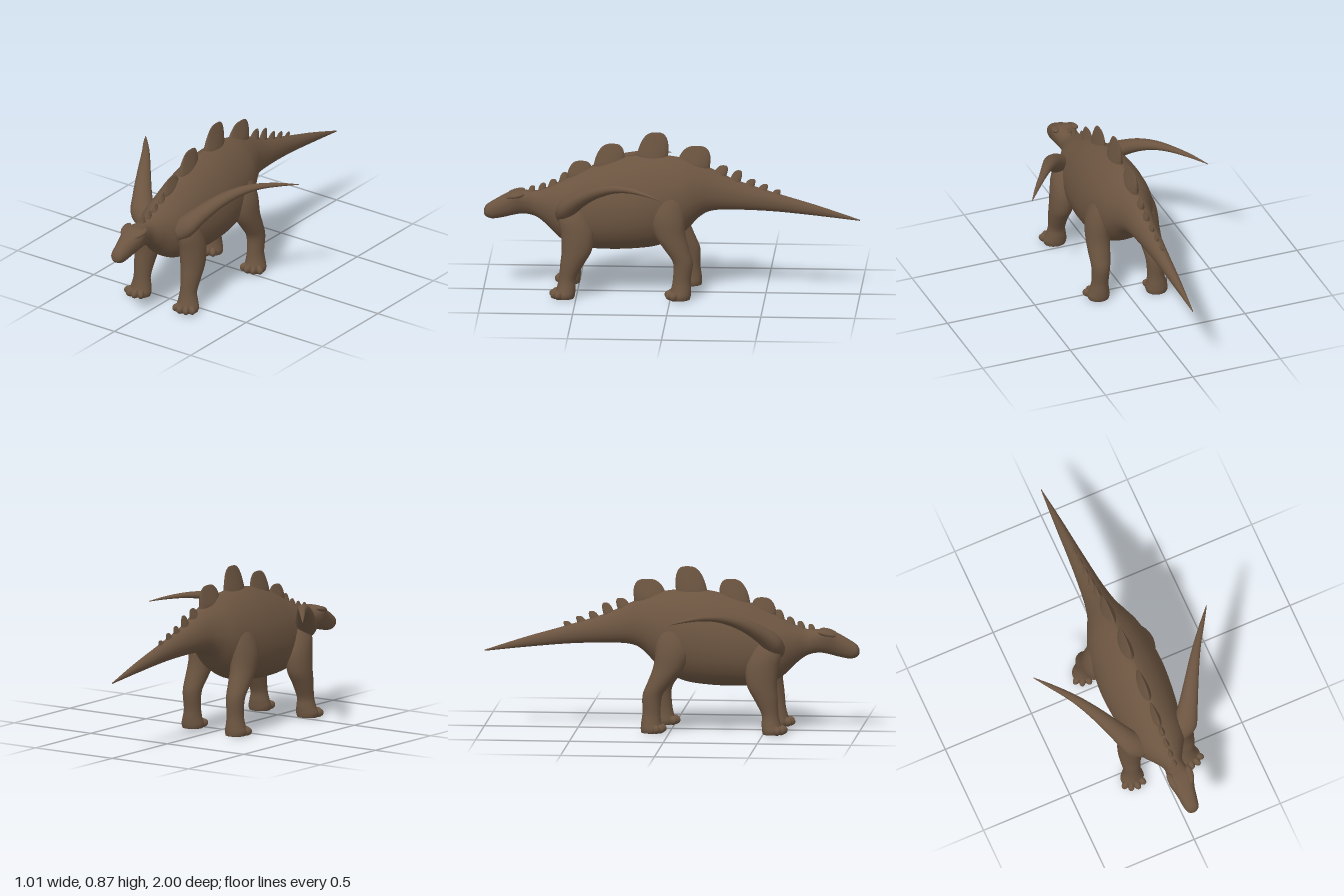
import * as THREE from 'three';

const hide = new THREE.MeshStandardMaterial({ color: 0x6b5440 });
hide.name = 'brown hide';

// Smooth interpolation through rows of numbers
function sampleRows(rows, t) {
  const s = t * (rows.length - 1);
  const i = Math.min(Math.floor(s), rows.length - 2);
  const u = s - i;
  const at = (k) => rows[Math.max(0, Math.min(rows.length - 1, k))];
  return rows[i].map((_, c) => {
    const a = at(i - 1)[c], b = at(i)[c], d = at(i + 1)[c], e = at(i + 2)[c];
    return b + 0.5 * u * (d - a + u * (2 * a - 5 * b + 4 * d - e + u * (3 * (b - d) + e - a)));
  });
}

// Closed skin over rings; ring(row, angle) gives [x, y, z]
function loft(rows, ring, steps, sides) {
  const pos = [], index = [];
  for (let i = 0; i <= steps; i++) {
    const row = sampleRows(rows, i / steps);
    for (let j = 0; j < sides; j++) pos.push(...ring(row, (j / sides) * Math.PI * 2));
  }
  for (let i = 0; i < steps; i++) {
    for (let j = 0; j < sides; j++) {
      const a = i * sides + j, b = i * sides + (j + 1) % sides;
      index.push(a, b, a + sides, b, b + sides, a + sides);
    }
  }
  for (const end of [0, steps]) {
    const centre = pos.length / 3, mid = [0, 0, 0];
    for (let j = 0; j < sides; j++) for (let c = 0; c < 3; c++) mid[c] += pos[(end * sides + j) * 3 + c] / sides;
    pos.push(...mid);
    for (let j = 0; j < sides; j++) {
      const a = end * sides + j, b = end * sides + (j + 1) % sides;
      index.push(...(end ? [a, b, centre] : [b, a, centre]));
    }
  }
  // Turn the faces outward
  const v = (k) => new THREE.Vector3().fromArray(pos, k * 3);
  let volume = 0;
  for (let k = 0; k < index.length; k += 3) volume += v(index[k]).dot(v(index[k + 1]).cross(v(index[k + 2])));
  if (volume < 0) index.reverse();
  const geo = new THREE.BufferGeometry();
  geo.setAttribute('position', new THREE.Float32BufferAttribute(pos, 3));
  geo.setIndex(index);
  geo.computeVertexNormals();
  return geo;
}

function add(parent, name, geo) {
  const mesh = new THREE.Mesh(geo, hide);
  mesh.name = name;
  parent.add(mesh);
  return mesh;
}

function ellipsoid(parent, name, p, r, turn = [0, 0, 0]) {
  const mesh = add(parent, name, new THREE.SphereGeometry(1, 16, 12));
  mesh.position.set(...p);
  mesh.scale.set(...r);
  mesh.rotation.set(...turn);
  return mesh;
}

// z, bottom, top, half width, height of widest point (0-1), upper taper
const bodyRows = [
  [0.998, 0.415, 0.44, 0.012, 0.5, 0.9], [0.985, 0.4, 0.463, 0.032, 0.5, 0.9],
  [0.95, 0.39, 0.487, 0.042, 0.5, 0.8], [0.89, 0.4, 0.52, 0.052, 0.6, 0.7],
  [0.83, 0.415, 0.545, 0.068, 0.7, 0.65], [0.78, 0.42, 0.545, 0.06, 0.6, 0.8],
  [0.72, 0.405, 0.545, 0.055, 0.5, 1], [0.66, 0.36, 0.565, 0.085, 0.5, 1.1],
  [0.58, 0.285, 0.605, 0.13, 0.48, 1.2], [0.48, 0.248, 0.655, 0.15, 0.45, 1.3],
  [0.36, 0.238, 0.705, 0.17, 0.42, 1.35], [0.2, 0.243, 0.745, 0.182, 0.42, 1.4],
  [0.06, 0.265, 0.75, 0.172, 0.45, 1.4], [-0.06, 0.33, 0.735, 0.15, 0.45, 1.4],
  [-0.15, 0.42, 0.705, 0.11, 0.42, 1.35], [-0.22, 0.453, 0.675, 0.082, 0.42, 1.3],
  [-0.35, 0.458, 0.615, 0.06, 0.45, 1.2], [-0.55, 0.45, 0.55, 0.04, 0.5, 1.1],
  [-0.78, 0.428, 0.482, 0.022, 0.5, 1], [-1, 0.403, 0.409, 0.002, 0.5, 1],
];
function bodyRing([z, low, high, w, f, p], a) {
  const s = Math.sin(a), c = Math.cos(a), mid = low + (high - low) * f;
  const x = w * Math.sign(c) * Math.pow(Math.abs(c), s > 0 ? p : 0.85);
  return [x, mid + s * (s > 0 ? high - mid : mid - low), z];
}

// y, centre x, centre z, half width, half depth
const frontLegRows = [
  [0.003, 0.16, 0.56, 0.058, 0.05], [0.025, 0.16, 0.56, 0.064, 0.055],
  [0.06, 0.157, 0.552, 0.055, 0.05], [0.11, 0.155, 0.545, 0.046, 0.046],
  [0.19, 0.155, 0.52, 0.053, 0.064], [0.26, 0.15, 0.497, 0.061, 0.08],
  [0.35, 0.144, 0.495, 0.062, 0.087], [0.43, 0.135, 0.515, 0.055, 0.08],
  [0.5, 0.115, 0.53, 0.036, 0.05], [0.53, 0.1, 0.53, 0.01, 0.015],
];
const hindLegRows = [
  [0.003, 0.157, -0.052, 0.056, 0.053], [0.025, 0.157, -0.052, 0.061, 0.058],
  [0.06, 0.155, -0.058, 0.052, 0.053], [0.11, 0.152, -0.062, 0.045, 0.048],
  [0.2, 0.15, -0.067, 0.05, 0.053], [0.27, 0.146, -0.035, 0.058, 0.066],
  [0.35, 0.14, 0.003, 0.064, 0.083], [0.44, 0.132, 0.015, 0.066, 0.092],
  [0.53, 0.11, 0.012, 0.058, 0.08], [0.6, 0.085, 0.005, 0.035, 0.05], [0.63, 0.07, 0, 0.01, 0.015],
];

function addLeg(parent, name, rows, side, stepBack) {
  const leg = new THREE.Group();
  leg.name = name;
  parent.add(leg);
  const shift = (y) => -stepBack * Math.max(0, 1 - y / 0.42);
  add(leg, name + 'Limb', loft(rows, ([y, x, z, rx, rz], a) =>
    [side * (x + rx * Math.cos(a)), y, z + shift(y) + rz * Math.sin(a)], 36, 24));
  // Four splayed toes
  const [, fx, fz] = rows[1];
  for (let i = 0; i < 4; i++) {
    const a = -0.65 + i * 0.55;
    ellipsoid(leg, 'toe', [side * (fx + 0.056 * Math.sin(a)), 0.025, fz + shift(0) + 0.052 * Math.cos(a)],
      [0.019, 0.024, 0.031], [0, side * a, 0]);
  }
}

// Long backswept shoulder spike: x, y, z, radius
const spikeRows = [
  [0.08, 0.44, 0.58, 0.055], [0.14, 0.485, 0.55, 0.066], [0.195, 0.548, 0.48, 0.052],
  [0.25, 0.603, 0.395, 0.04], [0.31, 0.64, 0.3, 0.029], [0.37, 0.652, 0.21, 0.02],
  [0.44, 0.646, 0.115, 0.012], [0.502, 0.631, 0.03, 0.002],
];
function addSpike(parent, side) {
  const axis = new THREE.Vector3(0.55, 0.28, -0.78).normalize();
  const across = new THREE.Vector3(0, 1, 0).cross(axis).normalize();
  const up = axis.clone().cross(across);
  add(parent, side > 0 ? 'leftShoulderSpike' : 'rightShoulderSpike', loft(spikeRows, ([x, y, z, r], a) => {
    const p = new THREE.Vector3(x, y, z)
      .addScaledVector(across, r * Math.cos(a)).addScaledVector(up, 0.85 * r * Math.sin(a));
    return [side * p.x, p.y, p.z];
  }, 40, 20));
}

// Blunt upright plate, thick at the root and leaning back
function addPlate(parent, z, base, top, length, thick, lean) {
  const geo = new THREE.SphereGeometry(1, 28, 20);
  const p = geo.attributes.position;
  for (let i = 0; i < p.count; i++) {
    const y = p.getY(i), h = Math.max(0, y);
    const taper = y > 0 ? 1 - 0.72 * h : 1;
    const fullness = 1 / Math.pow(Math.max(0.02, 1 - y * y), 0.17);
    p.setXYZ(i, p.getX(i) * thick * taper, base + y * (top - base),
      z + p.getZ(i) * length * fullness - h * lean);
  }
  geo.computeVertexNormals();
  add(parent, 'backPlate', geo);
}

export function createModel() {
  const model = new THREE.Group();
  model.name = 'armouredDinosaur';
  add(model, 'bodyHeadAndTail', loft(bodyRows, bodyRing, 120, 40));

  for (const side of [1, -1]) {
    const word = side > 0 ? 'left' : 'right';
    addLeg(model, word + 'FrontLeg', frontLegRows, side, side > 0 ? 0 : 0.012);
    addLeg(model, word + 'HindLeg', hindLegRows, side, side > 0 ? 0 : 0.045);
    addSpike(model, side);
    // Brow ridge and eye
    ellipsoid(model, word + 'Brow', [side * 0.048, 0.525, 0.83], [0.023, 0.016, 0.05], [0.25, side * -0.2, 0]);
    ellipsoid(model, word + 'Eye', [side * 0.056, 0.503, 0.845], [0.009, 0.01, 0.013]);
  }

  // Large plates: z, base, top, half length, half thickness, lean
  const plates = [
    [0.49, 0.635, 0.712, 0.065, 0.024, 0.01], [0.335, 0.69, 0.808, 0.08, 0.03, 0.02],
    [0.105, 0.735, 0.873, 0.083, 0.033, 0.022], [-0.115, 0.7, 0.802, 0.088, 0.033, 0.018],
    // Small neck and tail scutes
    [0.745, 0.54, 0.573, 0.018, 0.012, 0.006], [0.69, 0.55, 0.588, 0.02, 0.014, 0.008],
    [0.635, 0.57, 0.61, 0.022, 0.016, 0.008], [0.575, 0.6, 0.648, 0.024, 0.018, 0.008],
    [-0.255, 0.645, 0.698, 0.036, 0.02, 0.02], [-0.335, 0.61, 0.672, 0.03, 0.018, 0.02],
    [-0.41, 0.585, 0.625, 0.027, 0.015, 0.018], [-0.48, 0.565, 0.598, 0.025, 0.012, 0.016],
    [-0.55, 0.54, 0.57, 0.023, 0.01, 0.014],
  ];
  for (const plate of plates) addPlate(model, ...plate);
  return model;
}
